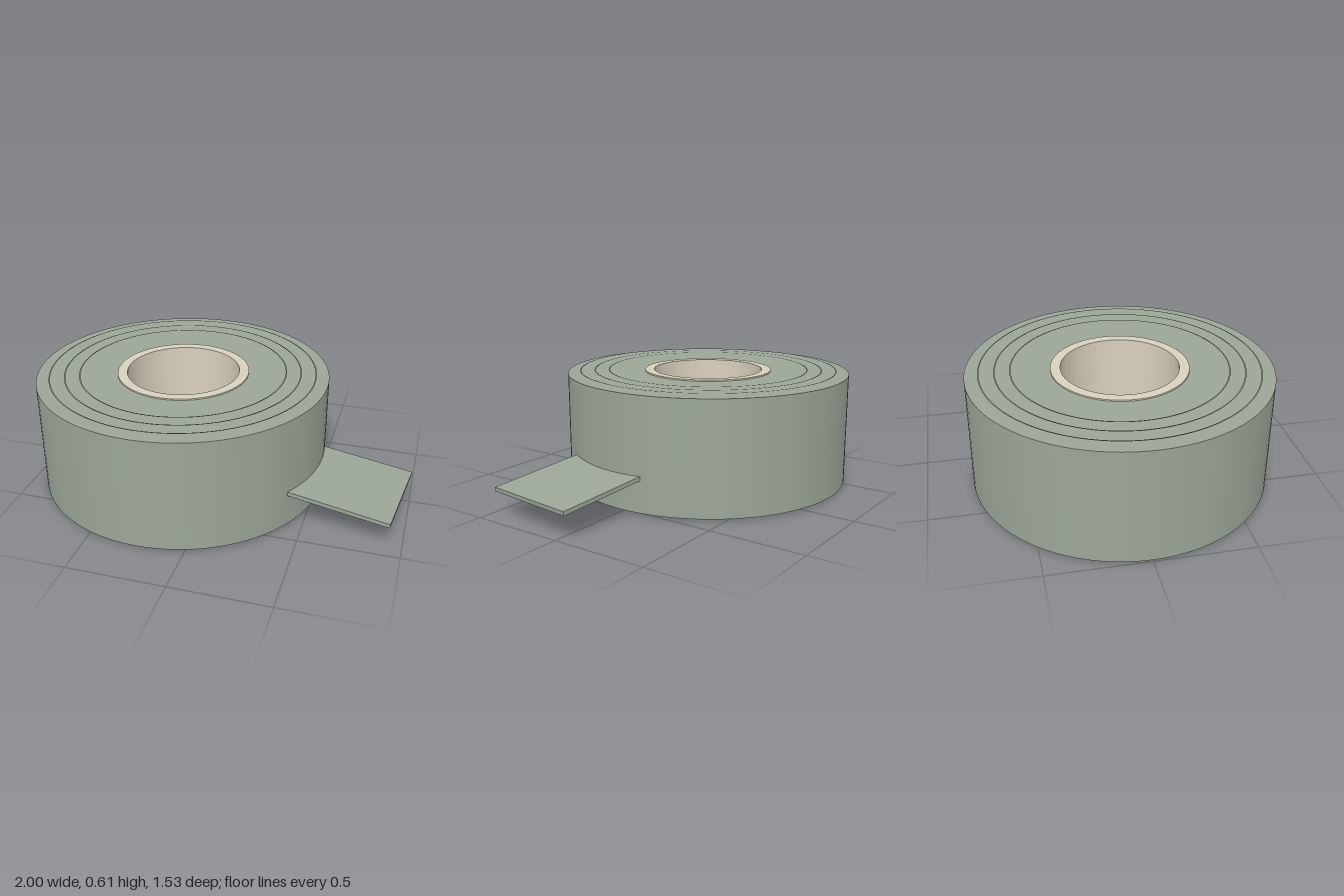
import * as THREE from 'three';
import { toCreasedNormals } from 'three/addons/utils/BufferGeometryUtils.js';

const SEGMENTS = 96;

// Hollow cylinder with sharp rims and smooth walls
function tubeRing(inner, outer, bottom, top) {
  const profile = [
    [inner, bottom], [outer, bottom], [outer, top], [inner, top], [inner, bottom],
  ].map(([x, y]) => new THREE.Vector2(x, y));
  return toCreasedNormals(new THREE.LatheGeometry(profile, SEGMENTS), 0.6);
}

export function createModel() {
  const model = new THREE.Group();
  model.name = 'tapeRoll';

  const tapeMat = new THREE.MeshStandardMaterial({ color: 0x9ba697 });
  const coreMat = new THREE.MeshStandardMaterial({ color: 0xd9d0bd });
  const lineMat = new THREE.MeshStandardMaterial({ color: 0x8a9486, side: THREE.DoubleSide });

  const add = (parent, name, geometry, material) => {
    const mesh = new THREE.Mesh(geometry, material);
    mesh.name = name;
    parent.add(mesh);
    return mesh;
  };

  // Wound roll on its cardboard core
  const roll = new THREE.Group();
  roll.name = 'roll';
  roll.position.x = -0.235;
  model.add(roll);
  add(roll, 'woundTape', tubeRing(0.34, 0.765, 0.008, 0.598), tapeMat);
  add(roll, 'core', tubeRing(0.295, 0.345, 0, 0.605), coreMat);

  // Thin winding lines just above the top face
  for (const radius of [0.545, 0.622, 0.7]) {
    const line = add(roll, 'windingLine', new THREE.RingGeometry(radius - 0.007, radius, SEGMENTS), lineMat);
    line.rotation.x = -Math.PI / 2;
    line.position.y = 0.609;
  }

  // Loose tape end, turned slightly forward and drooping; its root sits inside the roll
  const looseEnd = new THREE.Group();
  looseEnd.name = 'looseEnd';
  looseEnd.position.set(0.965, 0.137, 0.198);
  looseEnd.rotation.y = THREE.MathUtils.degToRad(-6.8);
  model.add(looseEnd);
  const droop = new THREE.Group();
  droop.name = 'droop';
  droop.rotation.z = THREE.MathUtils.degToRad(-5.8);
  looseEnd.add(droop);
  const strip = add(droop, 'strip', new THREE.BoxGeometry(0.62, 0.022, 0.51), tapeMat);
  strip.position.x = -0.31;

  return model;
}
